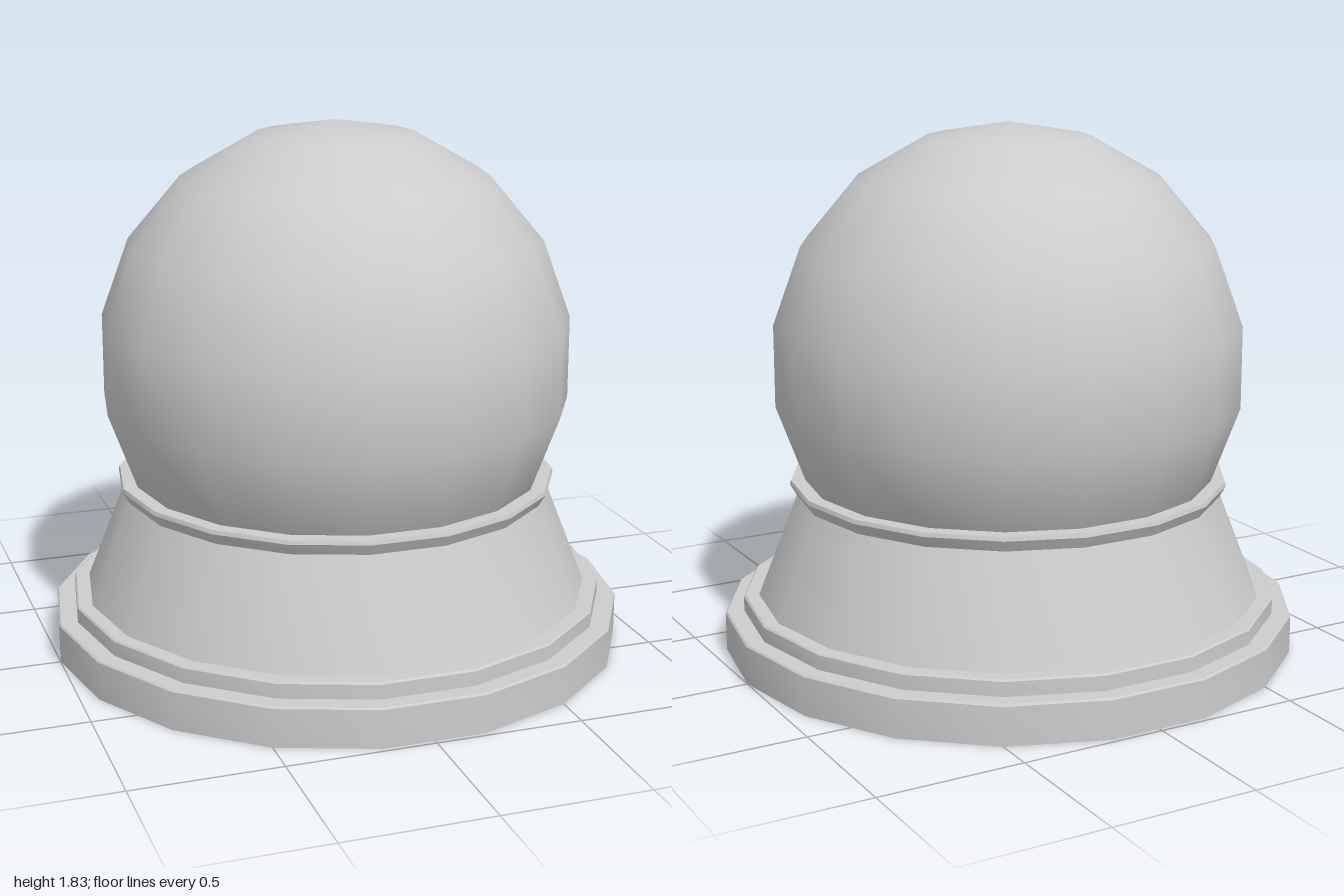
import * as THREE from 'three';
import { toCreasedNormals } from 'three/addons/utils/BufferGeometryUtils.js';

const SIDES = 18;

export function createModel() {
  const group = new THREE.Group();
  const grey = new THREE.MeshStandardMaterial({ color: 0xcccccc });
  grey.name = 'plain grey';

  const add = (name, geometry) => {
    const mesh = new THREE.Mesh(geometry, grey);
    mesh.name = name;
    group.add(mesh);
  };

  // Turned part from a bottom-to-top profile of [radius, height], a corner on +x
  const turned = (name, profile) => {
    const points = profile.map(([r, y]) => new THREE.Vector2(r, y));
    const lathe = new THREE.LatheGeometry(points, SIDES, Math.PI / 2);
    add(name, toCreasedNormals(lathe, 0.5));
  };

  // Wide foot with a slightly eased top edge, closed underneath
  turned('foot', [[0, 0], [1, 0], [1, 0.132], [0.994, 0.138], [0.92, 0.138]]);

  // Smaller step on the foot
  turned('step', [[0.935, 0.138], [0.935, 0.188], [0.929, 0.194], [0.86, 0.194]]);

  // Tapered pedestal
  turned('pedestal', [[0.882, 0.194], [0.742, 0.55]]);

  // Flared collar that holds the globe
  turned('collar', [[0.742, 0.55], [0.765, 0.59], [0.761, 0.604], [0.69, 0.604]]);

  // Smooth globe, its lower part sunk into the pedestal
  const globe = new THREE.SphereGeometry(0.82, SIDES, 9);
  globe.translate(0, 1.01, 0);
  add('globe', globe);

  return group;
}
